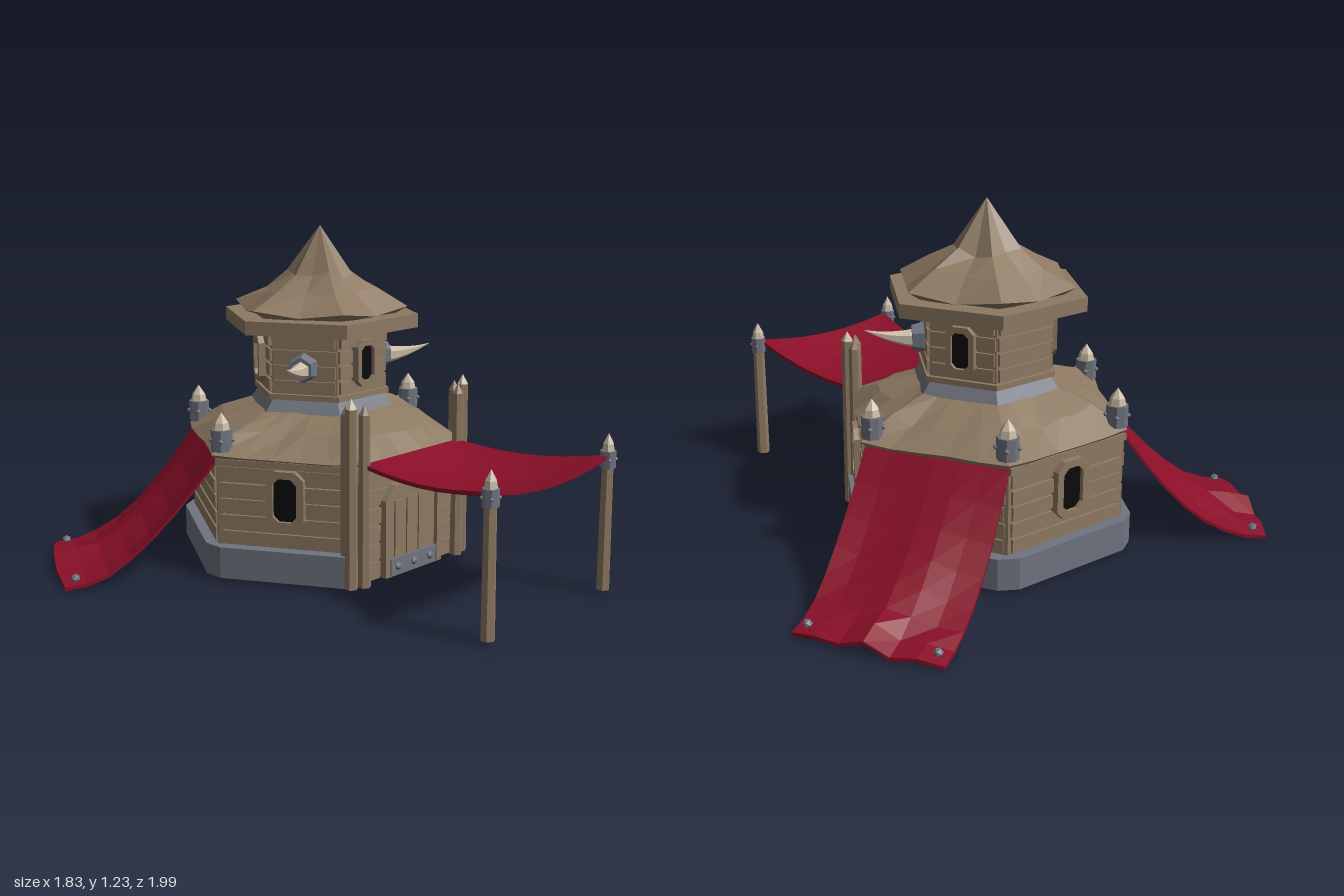
import * as THREE from 'three';

const mat = (name, color) => {
  const m = new THREE.MeshStandardMaterial({ color, side: THREE.DoubleSide });
  m.name = name;
  return m;
};
const DEG = Math.PI / 180;
const HEX = Math.cos(30 * DEG);
const hash = (i) => { const s = Math.sin(i * 127.1 + 3.7) * 4375.85; return s - Math.floor(s); };

export function createModel() {
  const wood = mat('wood', 0x8d7962), red = mat('red cloth', 0x8a0f28), grey = mat('grey stone and iron', 0x70747f);
  const bone = mat('bone', 0xcbbca6), black = mat('black opening', 0x0b0b0b);

  const model = new THREE.Group();
  const hut = new THREE.Group();
  hut.name = 'hut';
  hut.position.x = -0.19;
  model.add(hut);

  // Faceted mesh at a position
  const add = (parent, name, geo, material, x = 0, y = 0, z = 0) => {
    const g = geo.index ? geo.toNonIndexed() : geo;
    g.computeVertexNormals();
    const mesh = new THREE.Mesh(g, material);
    mesh.name = name;
    mesh.position.set(x, y, z);
    parent.add(mesh);
    return mesh;
  };
  const box = (p, name, m, w, h, d, x, y, z) => add(p, name, new THREE.BoxGeometry(w, h, d), m, x, y, z);
  // Upright cylinder given by its bottom and top heights
  const tube = (p, name, m, rTop, rBottom, y0, y1, x = 0, z = 0, sides = 6, open = false) =>
    add(p, name, new THREE.CylinderGeometry(rTop, rBottom, y1 - y0, sides, 1, open), m, x, (y0 + y1) / 2, z);
  // Side of the hexagon: local +z points outward, +x along the wall
  const side = (name, deg) => {
    const g = new THREE.Group();
    g.name = name;
    g.rotation.y = deg * DEG;
    hut.add(g);
    return g;
  };
  const octagon = (w, h, c, Type = THREE.Shape) => new Type([
    [-w + c, -h], [w - c, -h], [w, -h + c], [w, h - c], [w - c, h], [-w + c, h], [-w, h - c], [-w, -h + c],
  ].map(([x, y]) => new THREE.Vector2(x, y)));

  // Framed window with a dark opening
  const windowOn = (p, w, h, y, z) => {
    const s = octagon(w, h, w * 0.45);
    s.holes.push(octagon(w * 0.62, h * 0.75, w * 0.3, THREE.Path));
    add(p, 'windowFrame', new THREE.ExtrudeGeometry(s, { depth: 0.035, bevelEnabled: false }), wood, 0, y, z);
    add(p, 'windowOpening', new THREE.ShapeGeometry(octagon(w * 0.63, h * 0.76, w * 0.3)), black, 0, y, z + 0.02);
  };
  const planks = (p, width, y0, y1, n, z) => {
    const h = (y1 - y0) / n;
    for (let i = 0; i < n; i++) {
      box(p, 'plank', wood, width - 0.02 * hash(i + n), h - 0.011, 0.018, 0, y0 + (i + 0.5) * h, z + 0.004 * hash(i + 9));
    }
  };

  // Surface joining hexagonal rings; each ring is [radius, y, cornerLift, jitter]
  const hexLoft = (name, rings, per) => {
    const n = per * 6, pos = [], idx = [];
    rings.forEach(([R, y, lift, jit], r) => {
      for (let i = 0; i < n; i++) {
        const k = Math.floor(i / per), t = (i % per) / per, a = k * 60 * DEG, b = a + 60 * DEG;
        const s = R * (1 + jit * (hash(i + r * 31) - 0.5));
        pos.push(s * THREE.MathUtils.lerp(Math.sin(a), Math.sin(b), t),
          y + (t === 0 ? lift : 0) + jit * 0.22 * (hash(i * 3 + r * 17) - 0.5),
          s * THREE.MathUtils.lerp(Math.cos(a), Math.cos(b), t));
        if (r) {
          const j = (i + 1) % n, p = (r - 1) * n, q = r * n;
          idx.push(p + i, p + j, q + j, p + i, q + j, q + i);
        }
      }
    });
    const g = new THREE.BufferGeometry();
    g.setAttribute('position', new THREE.Float32BufferAttribute(pos, 3));
    g.setIndex(idx);
    add(hut, name, g, wood);
  };

  // Thin cloth shaped by a rule of u (-1..1 across) and v (0..1 outward)
  const cloth = (p, name, rule, thick) => {
    const g = new THREE.BoxGeometry(2, 1, 1, 6, 1, 7), a = g.attributes.position;
    for (let i = 0; i < a.count; i++) {
      const [x, y, z] = rule(a.getX(i), a.getZ(i) + 0.5);
      a.setXYZ(i, x, y + (a.getY(i) > 0 ? thick : 0), z);
    }
    add(p, name, g, red);
  };

  // Lower walls and stone footing, open at the door side
  tube(hut, 'lowerWalls', wood, 0.515, 0.515, 0.015, 0.45, 0, 0, 6, true);
  const polar = (R, d) => new THREE.Vector2(R * Math.sin(d * DEG), R * Math.cos(d * DEG));
  const ring = [polar(0.55, 57)];
  for (let d = 0; d >= -180; d -= 60) ring.push(polar(0.545, d + 4), polar(0.545, d - 4));
  ring.push(polar(0.55, -237));
  for (let d = -240; d <= 60; d += 60) ring.push(polar(0.505, d));
  const footing = new THREE.ExtrudeGeometry(new THREE.Shape(ring), { depth: 0.115, bevelEnabled: false });
  add(hut, 'stoneFooting', footing.rotateX(-Math.PI / 2), grey, 0, 0.015, 0);

  // Lower roof, collar, tower and top roof
  hexLoft('lowerRoof', [[0.51, 0.43, 0, 0], [0.535, 0.455, 0.005, 0.03], [0.42, 0.515, 0.015, 0.13], [0.27, 0.578, 0, 0.02]], 5);
  tube(hut, 'stoneCollar', grey, 0.245, 0.285, 0.565, 0.62);
  tube(hut, 'towerWalls', wood, 0.245, 0.245, 0.615, 0.88);
  tube(hut, 'towerSill', wood, 0.262, 0.262, 0.62, 0.64);
  tube(hut, 'towerEaves', wood, 0.373, 0.373, 0.87, 0.92);
  hexLoft('topRoof', [[0.28, 0.915, 0, 0], [0.33, 0.93, 0.02, 0.04], [0.22, 0.995, 0.012, 0.1], [0.125, 1.06, 0.01, 0.12], [0.001, 1.235, 0, 0]], 2);

  // Window sides
  for (const deg of [30, 150, 270]) {
    const p = side('windowSide', deg);
    planks(p, 0.5, 0.13, 0.425, 5, 0.447);
    box(p, 'eaveBeam', wood, 0.52, 0.025, 0.03, 0, 0.435, 0.447);
    windowOn(p, 0.07, 0.105, 0.315, 0.446);
    box(p, 'darkInterior', black, 0.44, 0.38, 0.006, 0, 0.23, 0.432);
  }

  // Tower sides: windows, horns and one plain side
  for (let deg = 30; deg < 360; deg += 60) {
    const p = side('towerSide', deg);
    planks(p, 0.245, 0.64, 0.865, 4, 0.213);
    if (deg === 90 || deg === 210 || deg === 330) windowOn(p, 0.052, 0.085, 0.752, 0.213);
    if (deg === 30 || deg === 150) {
      const socket = new THREE.CylinderGeometry(0.045, 0.058, 0.05, 6).rotateX(Math.PI / 2);
      add(p, 'hornSocket', socket, grey, 0, 0.742, 0.24);
      const horn = new THREE.CylinderGeometry(0.001, 0.036, 0.18, 6, 4).rotateX(Math.PI / 2), a = horn.attributes.position;
      for (let i = 0; i < a.count; i++) a.setY(i, a.getY(i) + 0.035 * ((a.getZ(i) + 0.09) / 0.18) ** 2);
      add(p, 'horn', horn, bone, 0, 0.738, 0.34);
    }
  }

  // Sloping cloths pegged to the ground
  for (const deg of [210, 330]) {
    const p = side('clothSide', deg), m = deg === 210 ? 1 : -1;
    planks(p, 0.5, 0.13, 0.43, 5, 0.445);
    cloth(p, 'slopingCloth', (u, v) => {
      const fold = Math.sin(v * Math.PI * 0.75) * 0.022 * Math.sin(u * m * 4 + v * 2);
      const hem = v > 0.8 ? 0.012 * (1 + Math.cos(u * 9)) * (1 - u * u) : 0;
      const y = 0.425 * (1 - v) ** 1.75 + 0.004 + Math.max(fold, -0.4 * (1 - v) * 0.1) + hem;
      return [u * 0.262, y, 0.45 + v * (0.545 + 0.02 * (1 - u * u))];
    }, 0.013);
    for (const s of [-1, 1]) add(p, 'groundPeg', new THREE.IcosahedronGeometry(0.017), grey, s * 0.225, 0.035, 0.955);
  }

  // Post cap: iron band with rivets and a bone tip
  const cap = (p, x, z, y, r, h) => {
    tube(p, 'ironBand', grey, r * 1.1, r * 1.1, y, y + h, x, z, 8);
    for (let i = 0; i < 4; i++) {
      const a = (i * 90 + 45) * DEG;
      add(p, 'rivet', new THREE.IcosahedronGeometry(r * 0.28), grey, x + Math.sin(a) * r * 1.1, y + h / 2, z + Math.cos(a) * r * 1.1);
    }
    tube(p, 'tipBase', bone, r * 0.75, r * 0.9, y + h, y + h + 0.025, x, z);
    tube(p, 'tip', bone, 0.001, r * 0.75, y + h + 0.025, y + h + 0.06, x, z);
  };
  for (const deg of [0, 180, 240, 300]) {
    const c = polar(0.492, deg);
    tube(hut, 'cornerPost', wood, 0.025, 0.025, 0.02, 0.48, c.x, c.y);
    cap(hut, c.x, c.y, 0.47, 0.035, 0.078);
  }

  // Door side
  const front = side('doorSide', 90);
  planks(front, 0.5, 0.02, 0.42, 6, 0.445);
  box(front, 'lintel', wood, 0.44, 0.04, 0.03, 0, 0.42, 0.452);
  const arch = (w, h, c) => new THREE.Shape([[-w, 0], [w, 0], [w, h - c], [w - c, h], [-w + c, h], [-w, h - c]]
    .map(([x, y]) => new THREE.Vector2(x, y)));
  const frame = arch(0.15, 0.335, 0.05);
  frame.holes.push(new THREE.Path(arch(0.125, 0.31, 0.04).getPoints().map((q) => q.setY(Math.max(q.y, 0.002)))));
  add(front, 'doorFrame', new THREE.ExtrudeGeometry(frame, { depth: 0.04, bevelEnabled: false }), wood, 0, 0.02, 0.44);
  add(front, 'door', new THREE.ExtrudeGeometry(arch(0.126, 0.31, 0.04), { depth: 0.025, bevelEnabled: false }), wood, 0, 0.02, 0.44);
  for (const x of [-0.063, 0, 0.063]) box(front, 'doorBoard', wood, 0.057, 0.27, 0.008, x, 0.16, 0.467);
  box(front, 'doorBand', grey, 0.24, 0.065, 0.012, 0, 0.053, 0.474);
  for (const x of [-0.085, 0, 0.085]) add(front, 'doorRivet', new THREE.IcosahedronGeometry(0.016), grey, x, 0.053, 0.48);

  // Pole clusters beside the door and the canopy posts
  for (const s of [-1, 1]) {
    for (const [x, z, h] of [[0.295, 0.45, 0.66], [0.248, 0.468, 0.635], [0.285, 0.418, 0.635]]) {
      tube(front, 'doorPole', wood, 0.021, 0.024, 0.015, h, s * x, z);
      tube(front, 'poleTip', h > 0.65 ? bone : wood, 0.001, 0.021, h, h + 0.035, s * x, z);
    }
    tube(front, 'canopyPost', wood, 0.022, 0.025, 0.015, 0.48, s * 0.32, 1.08);
    cap(front, s * 0.32, 1.08, 0.455, 0.026, 0.06);
  }

  // Sagging canopy
  cloth(front, 'canopy', (u, v) => [
    u * (0.25 + 0.058 * v),
    0.445 + 0.045 * v * v - 0.045 * Math.sin(v * Math.PI) * (1 - 0.6 * u * u) - 0.035 * (1 - u * u) * v,
    0.465 + v * 0.625,
  ], 0.014);

  return model;
}
